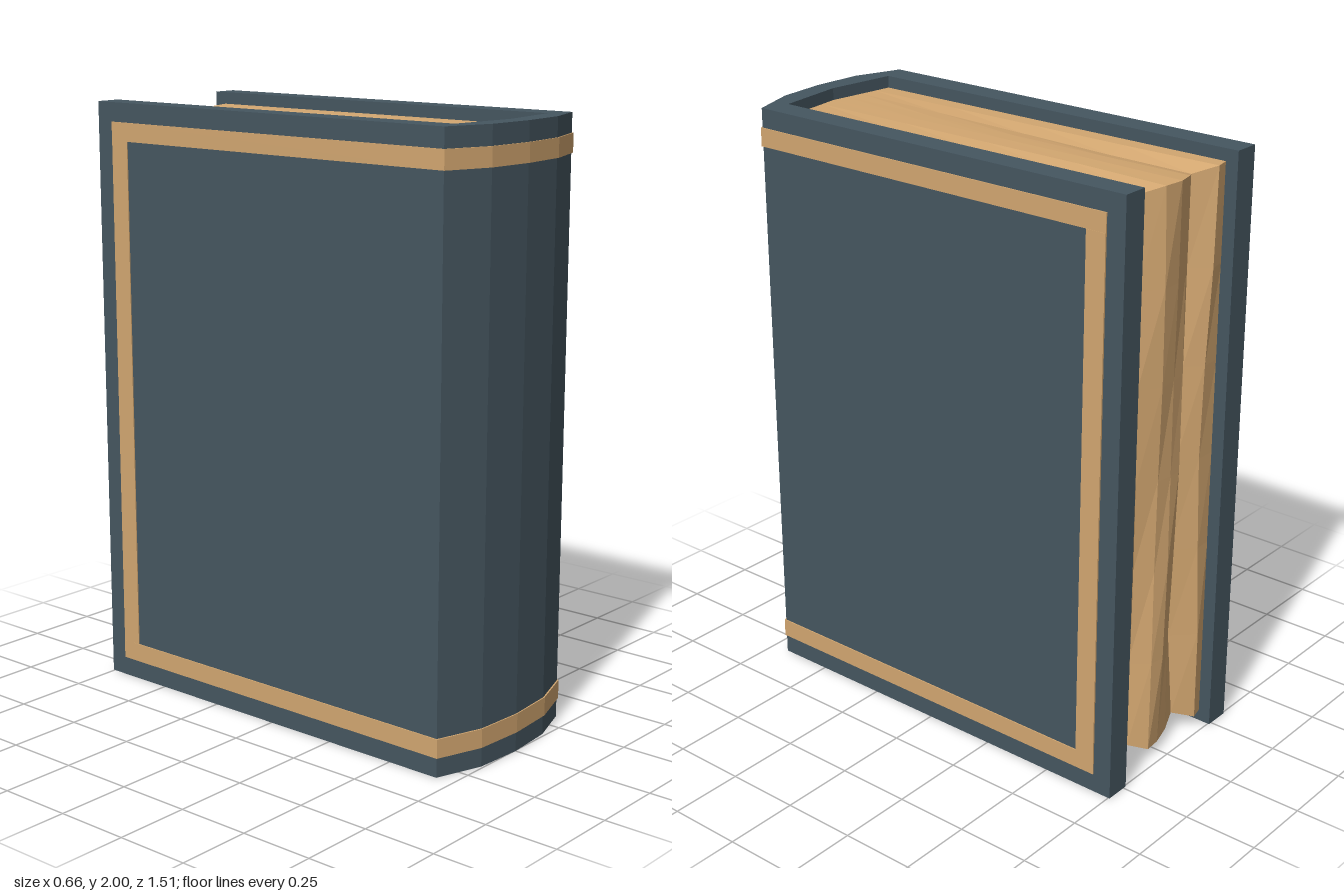
import * as THREE from 'three';

const coverMaterial = new THREE.MeshStandardMaterial({ color: 0x455660, flatShading: true });
coverMaterial.name = 'slate cover';
const paperMaterial = new THREE.MeshStandardMaterial({ color: 0xd2a670, flatShading: true });
paperMaterial.name = 'tan paper';

// Rounded spine outline, as [x, z]
const spine = [[-0.329, 0.687], [-0.17, 0.742], [0, 0.753], [0.17, 0.739], [0.327, 0.686]];

// Extrude an [x, z] outline upwards from y0 to y1
function upright(points, y0, y1) {
  const shape = new THREE.Shape(points.map(([x, z]) => new THREE.Vector2(x, -z)));
  const geometry = new THREE.ExtrudeGeometry(shape, { depth: y1 - y0, bevelEnabled: false });
  return geometry.rotateX(-Math.PI / 2).translate(0, y0, 0);
}

function add(group, name, geometry, material) {
  const mesh = new THREE.Mesh(geometry, material);
  mesh.name = name;
  group.add(mesh);
  return mesh;
}

// Page block: a subdivided box with grooves pressed into the fore edge and slight dips at the ends
function pagesGeometry() {
  const geometry = new THREE.BoxGeometry(0.482, 1.92, 1.38, 8, 6, 4);
  const groove = [0, 0, 0.05, 0.012, 0, 0.004, 0.045, 0.008, 0];
  const p = geometry.attributes.position;
  for (let i = 0; i < p.count; i++) {
    let x = p.getX(i), y = p.getY(i), z = p.getZ(i);
    const column = Math.round((x / 0.482 + 0.5) * 8);
    const dip = groove[column];
    const inner = column > 0 && column < 8;
    const back = z < -0.68, front = z > 0.68, end = Math.abs(y) > 0.95;
    const wave = Math.sin(y * 4.1 + column * 1.7);
    const back01 = 0.5 - z / 1.38;
    if (end) y -= Math.sign(y) * dip * 0.5 * back01;
    if (back) z += dip * (end ? 1 : 1.15) + (inner ? 0.008 * wave : 0.006);
    if (front) z += 0.03 * (1 - Math.abs(x) / 0.241);
    if (back && inner) x += 0.012 * Math.sin(y * 3 + column);
    p.setXYZ(i, x, y + 1, z - 0.027);
  }
  const flat = geometry.toNonIndexed();
  flat.computeVertexNormals();
  return flat;
}

export function createModel() {
  const book = new THREE.Group();
  book.name = 'book';

  // Two boards joined by the curved spine
  add(book, 'cover', upright([
    ...spine,
    [0.325, -0.755], [0.238, -0.755], [0.238, 0.655],
    [0, 0.685],
    [-0.238, 0.655], [-0.238, -0.755], [-0.327, -0.755],
  ], 0, 2), coverMaterial);

  add(book, 'pages', pagesGeometry(), paperMaterial);

  // Thin bands wrapping round the spine and along both boards
  const t = 0.004;
  const path = [[-0.327, -0.69], ...spine, [0.325, -0.69]];
  const outer = path.map(([x, z]) => [x + Math.sign(x) * t, z > 0 ? z + t : z]);
  const ribbon = [...outer, ...path.slice().reverse()];
  add(book, 'lowerBand', upright(ribbon, 0.065, 0.128), paperMaterial);
  add(book, 'upperBand', upright(ribbon, 1.874, 1.936), paperMaterial);

  // Upright border strip near the fore edge of each board
  for (const side of [-1, 1]) {
    const strip = add(book, side > 0 ? 'leftBorder' : 'rightBorder',
      new THREE.BoxGeometry(0.008, 1.746, 0.07), paperMaterial);
    strip.position.set(side * 0.3265, 1.001, -0.655);
  }
  return book;
}
